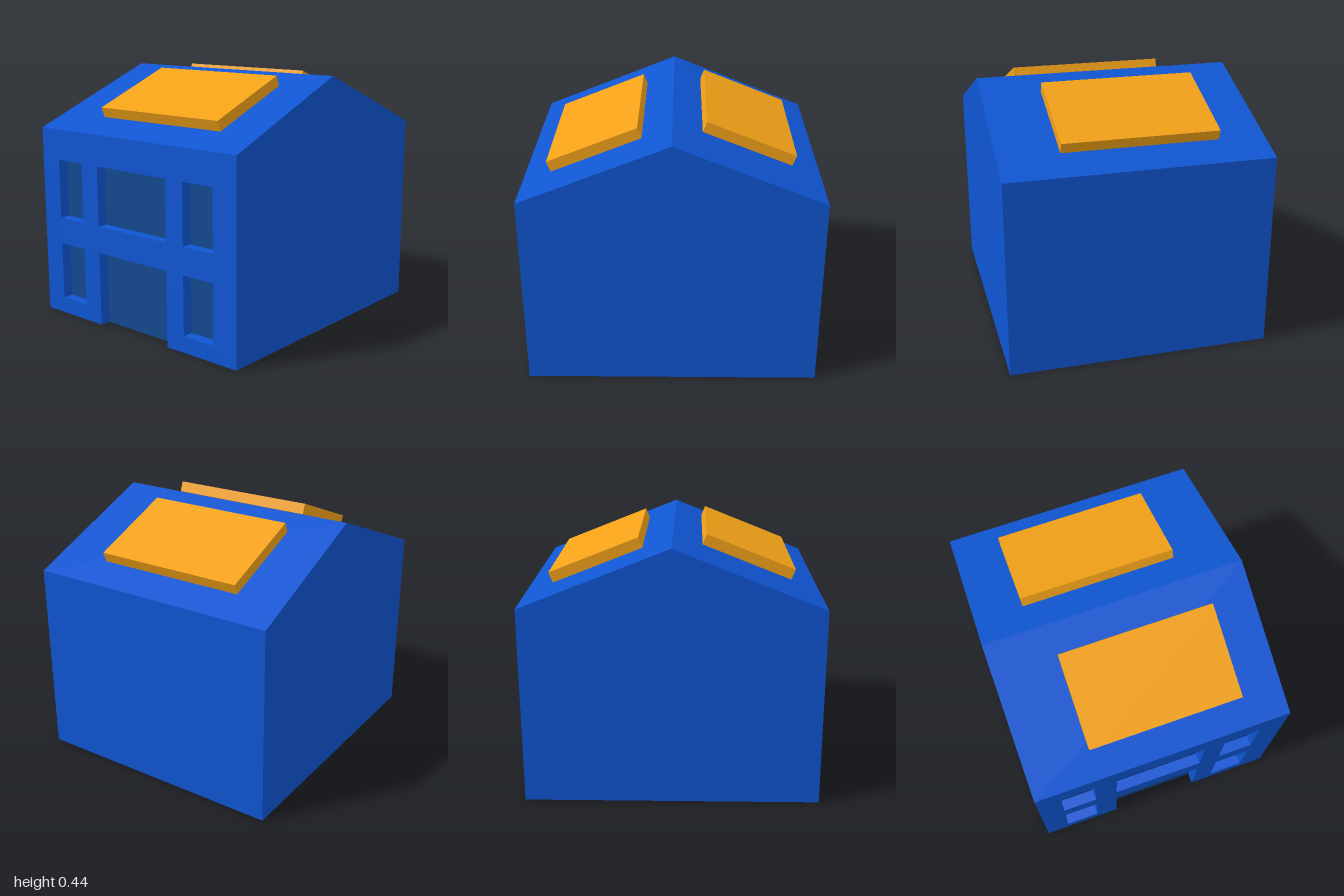
import * as THREE from 'three';

const LEFT = 0.543, RIGHT = 1.0, BASE = 0.126, EAVE = 0.469, RIDGE = 0.57;
const HALF = 0.253, RECESS = 0.02, LIP = 0.445;

const paint = (color) => new THREE.MeshStandardMaterial({ color, flatShading: true });
const toShape = (pts) => new THREE.Shape(pts.map(([x, y]) => new THREE.Vector2(x, y)));

export function createModel() {
  const model = new THREE.Group();
  const house = new THREE.Group();
  house.name = 'house';
  model.add(house);

  const wallPaint = paint(0x0f55d2);
  const panePaint = paint(0x134890);
  const panelPaint = paint(0xf2a118);

  const add = (name, geometry, material) => {
    const mesh = new THREE.Mesh(geometry, material);
    mesh.name = name;
    house.add(mesh);
    return mesh;
  };

  // Gabled body: a (z, y) profile swept along x, set back below the front eave
  const inner = HALF - RECESS;
  const gable = toShape([
    [-HALF, BASE], [inner, BASE], [inner, LIP], [HALF, LIP],
    [HALF, EAVE], [0, RIDGE], [-HALF, EAVE],
  ]);
  const body = new THREE.ExtrudeGeometry(gable, { depth: RIGHT - LEFT, bevelEnabled: false });
  body.rotateY(-Math.PI / 2).translate(RIGHT, 0, 0);
  add('body', body, wallPaint);

  // Front wall with a doorway cut from the bottom edge and five window holes
  const columns = [[0.586, 0.647], [0.687, 0.85], [0.888, 0.952]];
  const upper = [0.307, 0.414], lower = [0.155, 0.259];
  const [doorL, doorR] = columns[1];
  const front = toShape([
    [LEFT, BASE], [doorL, BASE], [doorL, lower[1]], [doorR, lower[1]],
    [doorR, BASE], [RIGHT, BASE], [RIGHT, LIP], [LEFT, LIP],
  ]);
  const openings = [{ name: 'door', x: columns[1], y: [BASE, lower[1]] }];
  columns.forEach((x, i) => {
    openings.push({ name: 'upperWindow', x, y: upper });
    if (i !== 1) openings.push({ name: 'lowerWindow', x, y: lower });
  });
  for (const { name, x: [x0, x1], y: [y0, y1] } of openings) {
    if (name !== 'door') front.holes.push(toShape([[x0, y0], [x0, y1], [x1, y1], [x1, y0]]));
    // Dark pane at the back of each opening
    add(name, new THREE.PlaneGeometry(x1 - x0, y1 - y0), panePaint)
      .position.set((x0 + x1) / 2, (y0 + y1) / 2, inner + 0.001);
  }
  const wall = new THREE.ExtrudeGeometry(front, { depth: RECESS, bevelEnabled: false });
  add('frontWall', wall.translate(0, 0, inner), wallPaint);

  // One solar panel just above each roof slope
  const pitch = Math.atan2(RIDGE - EAVE, HALF);
  for (const [name, side, x] of [['frontRoofPanel', 1, 0.79], ['backRoofPanel', -1, 0.762]]) {
    const panel = add(name, new THREE.BoxGeometry(0.27, 0.019, 0.164), panelPaint);
    panel.position.set(x, 0.531, side * 0.13);
    panel.rotation.x = side * pitch;
  }

  return model;
}
